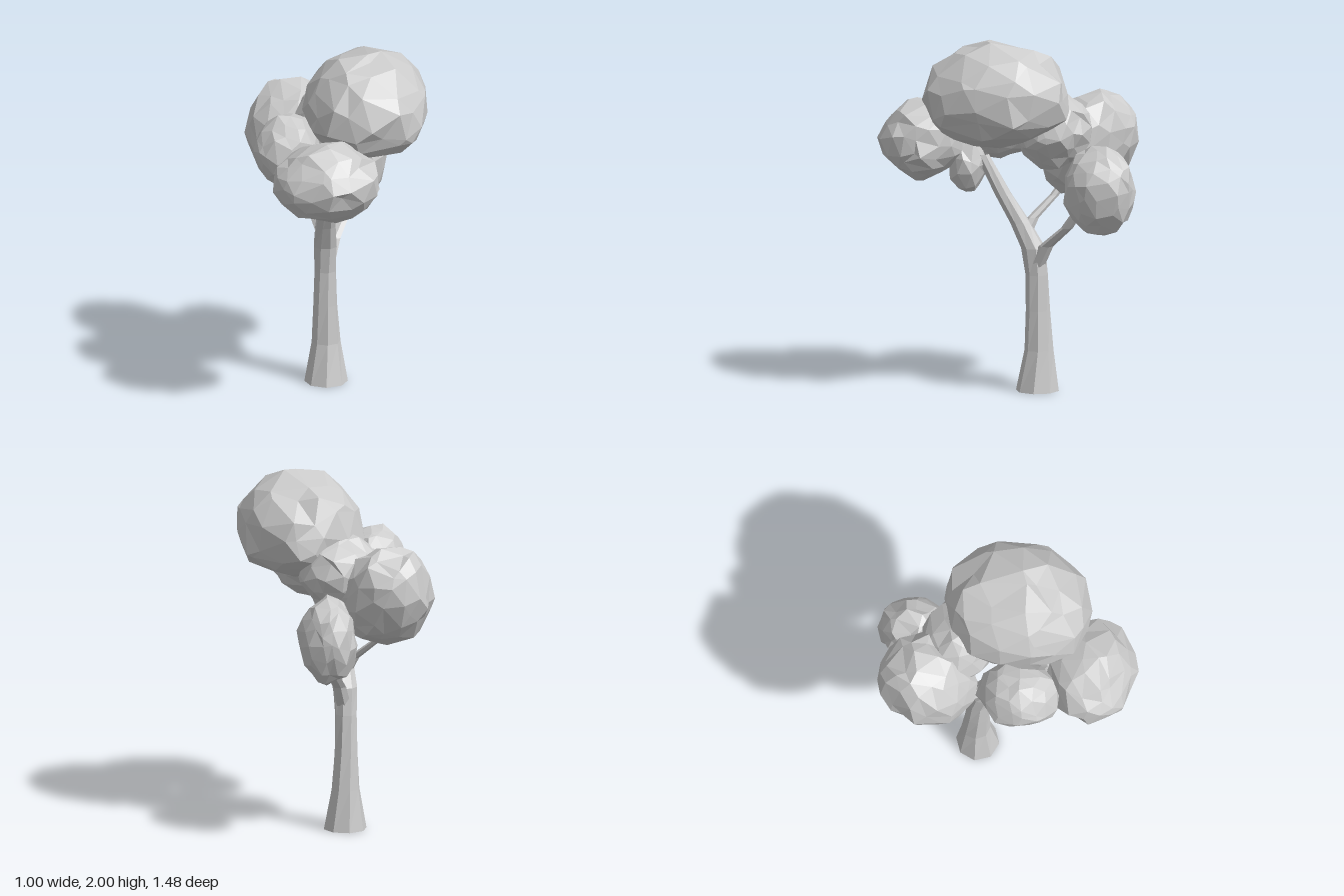
import * as THREE from 'three';

const leafMaterial = new THREE.MeshStandardMaterial({ color: 0xcccccc, flatShading: true });
const barkMaterial = new THREE.MeshStandardMaterial({ color: 0xcccccc, flatShading: true, side: THREE.DoubleSide });

// Repeatable noise in -1..1: the same corner always moves the same way
function noise(x, y, z, seed) {
  const s = Math.sin(Math.round(x * 1e3) * 0.127 + Math.round(y * 1e3) * 0.311 + Math.round(z * 1e3) * 0.747 + seed * 7.31) * 43758.5;
  return (s - Math.floor(s)) * 2 - 1;
}

// Lumpy faceted foliage ball, fitted to the box from min to max.
// squash flattens the underside, lean pushes the top towards the back.
function clump(name, min, max, seed, { rough = 0.13, detail = 2, squash = 1, lean = 0 } = {}) {
  const geo = new THREE.IcosahedronGeometry(1, detail);
  const pos = geo.attributes.position;
  const v = new THREE.Vector3();
  const turn = new THREE.Euler(seed * 1.3, seed * 2.1, seed * 0.7);
  for (let i = 0; i < pos.count; i++) {
    v.fromBufferAttribute(pos, i);
    const { x, y, z } = v;
    v.x += rough * noise(x, y, z, seed);
    v.y += rough * noise(x, y, z, seed + 11);
    v.z += rough * noise(x, y, z, seed + 23);
    v.normalize().multiplyScalar(1 + rough * 0.5 * noise(x, y, z, seed + 37)).applyEuler(turn);
    if (v.y < 0) v.y *= squash;
    pos.setXYZ(i, v.x, v.y, v.z - lean * v.y);
  }
  geo.computeBoundingBox();
  const size = geo.boundingBox.getSize(new THREE.Vector3());
  const mid = geo.boundingBox.getCenter(new THREE.Vector3());
  geo.translate(-mid.x, -mid.y, -mid.z);
  geo.scale(...['x', 'y', 'z'].map((a, i) => (max[i] - min[i]) / size[a]));
  geo.translate(...min.map((m, i) => (m + max[i]) / 2));
  geo.computeVertexNormals();
  const mesh = new THREE.Mesh(geo, leafMaterial);
  mesh.name = name;
  return mesh;
}

// Faceted limb through level rings [x, y, z, radius], listed from the bottom up
function limb(name, rings, sides, twist = 0) {
  const geo = new THREE.CylinderGeometry(1, 1, 1, sides, rings.length - 1, true);
  const pos = geo.attributes.position;
  for (let i = 0; i < pos.count; i++) {
    const row = rings.length - 1 - Math.floor(i / (sides + 1));
    const [x, y, z, r] = rings[row];
    const a = ((i % (sides + 1)) / sides) * Math.PI * 2 + row * twist;
    pos.setXYZ(i, x + r * Math.sin(a), y, z + r * Math.cos(a));
  }
  geo.computeVertexNormals();
  const mesh = new THREE.Mesh(geo, barkMaterial);
  mesh.name = name;
  return mesh;
}

export function createModel() {
  const tree = new THREE.Group();
  tree.name = 'tree';

  // Flared trunk leaning forward above the fork
  tree.add(limb('trunk', [
    [-0.055, 0, -0.153, 0.12],
    [-0.055, 0.23, -0.162, 0.08],
    [-0.06, 0.45, -0.155, 0.067],
    [-0.06, 0.65, -0.148, 0.062],
    [-0.06, 0.8, -0.128, 0.068],
    [-0.06, 0.94, -0.055, 0.058],
    [-0.05, 1.1, 0.04, 0.049],
    [-0.04, 1.32, 0.155, 0.04],
  ], 8, 0.1));

  // Side branches reaching into the back clumps
  tree.add(limb('backLeftBranch', [
    [-0.045, 0.7, -0.15, 0.045],
    [-0.01, 0.82, -0.21, 0.04],
    [0.06, 0.94, -0.34, 0.033],
    [0.1, 1.06, -0.42, 0.028],
  ], 6));
  tree.add(limb('backRightBranch', [
    [-0.07, 0.88, -0.08, 0.042],
    [-0.11, 0.96, -0.12, 0.032],
    [-0.21, 1.07, -0.22, 0.026],
    [-0.26, 1.16, -0.28, 0.024],
  ], 6));

  // Foliage: main balls, then the smaller ones that bridge them
  const foliage = new THREE.Group();
  foliage.name = 'foliage';
  foliage.add(
    clump('crownClump', [-0.19, 1.4, -0.37], [0.5, 2, 0.45], 1, { squash: 0.72 }),
    clump('frontClump', [-0.36, 1.16, 0.24], [0.23, 1.62, 0.74], 2),
    clump('backRightClump', [-0.5, 1.08, -0.68], [0.03, 1.66, -0.13], 3, { lean: 0.25 }),
    clump('backLeftClump', [-0.04, 0.92, -0.735], [0.29, 1.42, -0.33], 4),
    clump('rightClump', [-0.46, 1.26, -0.13], [-0.08, 1.65, 0.33], 5, { squash: 0.7 }),
    clump('bridgeClump', [-0.24, 1.25, -0.47], [0.22, 1.7, -0.05], 6),
    clump('lowerTuft', [-0.15, 1.1, 0.13], [0.05, 1.4, 0.34], 7, { rough: 0.2, detail: 1 }),
  );
  tree.add(foliage);
  return tree;
}
